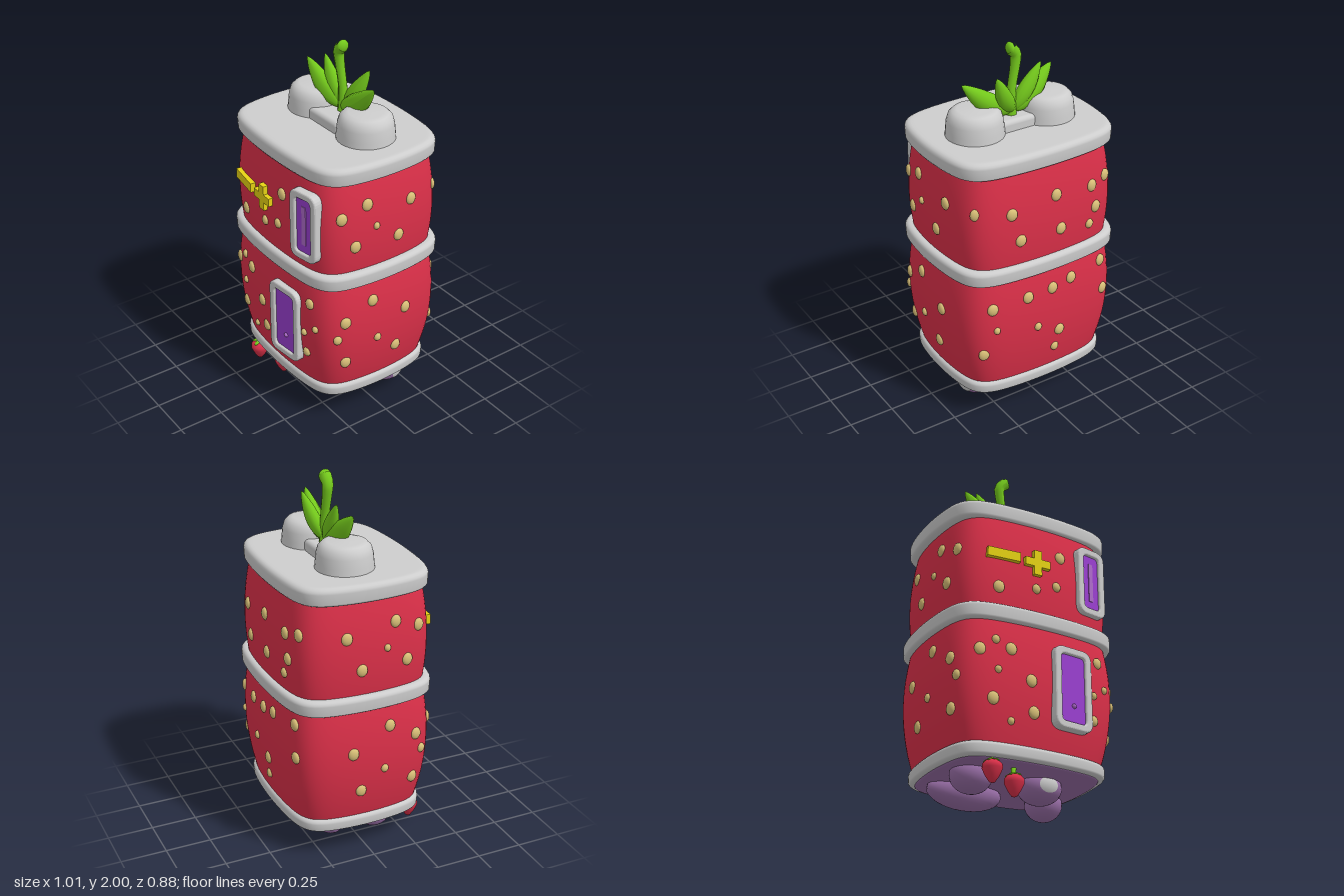
import * as THREE from 'three';
import { RoundedBoxGeometry } from 'three/addons/geometries/RoundedBoxGeometry.js';

const mat = (name, color) => {
  const m = new THREE.MeshStandardMaterial({ color });
  m.name = name;
  return m;
};
const BOW = 0.1, POW = 8, Z0 = -0.01;

// Bowed, rounded rectangle lofted through [y, halfWidth, halfDepth] sections
function loft(sections, seg = 24) {
  const n = seg * 4, pos = [], idx = [];
  for (const [y, a, b] of sections) {
    for (let j = 0; j < n; j++) {
      const s = Math.floor(j / seg), t = (j % seg) / seg * 2 - 1;
      let [u, v] = [[1, t], [-t, 1], [-1, -t], [t, -1]][s];
      const k = Math.pow(Math.abs(u) ** POW + Math.abs(v) ** POW, -1 / POW);
      u *= k; v *= k;
      pos.push(a * u * (1 - BOW * v * v), y, b * v * (1 - BOW * u * u) + Z0);
    }
  }
  for (let i = 0; i < sections.length - 1; i++) {
    for (let j = 0; j < n; j++) {
      const a = i * n + j, b = i * n + (j + 1) % n;
      idx.push(a, a + n, b + n, a, b + n, b);
    }
  }
  const g = new THREE.BufferGeometry();
  g.setAttribute('position', new THREE.Float32BufferAttribute(pos, 3));
  g.setIndex(idx);
  g.computeVertexNormals();
  return g;
}

// Bulging storeys of the house
const tiers = [
  { y0: 0.2, y1: 0.92, a: [0.425, 0.455, 0.05], b: [0.36, 0.39, 0.04] },
  { y0: 0.92, y1: 1.5, a: [0.455, 0.435, 0.03], b: [0.388, 0.37, 0.025] },
];
const bulge = ([p, q, h], t) => p + (q - p) * t + h * 4 * t * (1 - t);
function halfSize(y) {
  const k = y < 0.92 ? tiers[0] : tiers[1], t = (y - k.y0) / (k.y1 - k.y0);
  return [bulge(k.a, t), bulge(k.b, t)];
}

// Slab with rounded edges
function slab(y0, y1, a, b, r = 0.025) {
  const s = [[y0, 0, 0], [y0, a - r * 1.5, b - r * 1.5]];
  for (let i = 0; i <= 8; i++) {
    const t = -Math.PI / 2 + Math.PI * i / 8, c = r * (1 - Math.cos(t));
    const mid = Math.sin(t) < 0 ? y0 + r : y1 - r;
    s.push([mid + r * Math.sin(t), a - c, b - c]);
  }
  s.push([y1, a - r * 1.5, b - r * 1.5], [y1, a * 0.7, b * 0.7], [y1, 0, 0]);
  return loft(s);
}

// Tube with changing radius, optionally flattened in z
function taper(points, radius, flat = 1, seg = 20) {
  const curve = new THREE.CatmullRomCurve3(points.map(p => new THREE.Vector3(...p)));
  const g = new THREE.TubeGeometry(curve, seg, 1, 12), p = g.attributes.position;
  const v = new THREE.Vector3();
  for (let i = 0; i < p.count; i++) {
    const t = Math.floor(i / 13) / seg, c = curve.getPointAt(t);
    v.fromBufferAttribute(p, i).sub(c).multiplyScalar(radius(t));
    v.z *= flat;
    v.add(c);
    p.setXYZ(i, v.x, v.y, v.z);
  }
  g.computeVertexNormals();
  return g;
}

function roundRect(target, w, h, r) {
  const x = w / 2, y = h / 2;
  target.moveTo(-x + r, -y).lineTo(x - r, -y).quadraticCurveTo(x, -y, x, -y + r)
    .lineTo(x, y - r).quadraticCurveTo(x, y, x - r, y)
    .lineTo(-x + r, y).quadraticCurveTo(-x, y, -x, y - r)
    .lineTo(-x, -y + r).quadraticCurveTo(-x, -y, -x + r, -y);
  return target;
}

const lathe = pts => new THREE.LatheGeometry(pts.map(p => new THREE.Vector2(...p)), 32);

export function createModel() {
  const root = new THREE.Group();
  const red = mat('berry red', 0xdc3049), grey = mat('icing grey', 0xcdcdcd);
  const seedTan = mat('seed tan', 0xd9c078), violet = mat('glass violet', 0x9a40d0);
  const pale = mat('pale violet', 0xae6ccb), plum = mat('plum', 0x9a6fa8);
  const green = mat('leaf green', 0x74c91c), yellow = mat('sign yellow', 0xe8d414);
  const add = (name, geo, m, p = [0, 0, 0], parent = root) => {
    const o = new THREE.Mesh(geo, m);
    o.name = name;
    o.position.set(...p);
    parent.add(o);
    return o;
  };

  // Storeys
  tiers.forEach((k, i) => {
    const s = [];
    for (let j = 0; j <= 16; j++) {
      const t = j / 16;
      s.push([k.y0 + (k.y1 - k.y0) * t, bulge(k.a, t), bulge(k.b, t)]);
    }
    add(i ? 'upperStorey' : 'lowerStorey', loft(s), red);
  });

  // Trims, roof and floor
  add('baseTrim', slab(0.17, 0.245, 0.455, 0.385), grey);
  add('middleTrim', slab(0.87, 0.96, 0.5, 0.425), grey);
  add('roof', slab(1.46, 1.56, 0.49, 0.395, 0.03), grey);
  add('floor', slab(0.163, 0.19, 0.425, 0.355, 0.01), plum);

  // Roof turrets and the bridge between them
  const turret = lathe([[0.155, 1.54], [0.15, 1.59], [0.145, 1.64], [0.135, 1.672],
    [0.115, 1.692], [0.09, 1.699], [0, 1.702]]);
  add('rightTurret', turret, grey, [-0.21, 0, -0.045]);
  add('leftTurret', turret, grey, [0.22, 0, -0.045]);
  add('bridge', new RoundedBoxGeometry(0.26, 0.09, 0.2, 4, 0.025), grey, [0, 1.575, -0.03]);

  // Leaf crown and stalk
  const leaf = (x, y, z, w, sag) => add('leaf', taper(
    [[0, 1.635, -0.055], [x * 0.5, 1.635 + (y - 1.635) * 0.5 - sag, (z - 0.055) / 2], [x, y, z]],
    t => 0.002 + w * Math.pow(Math.sin(Math.PI * Math.pow(t, 0.85)), 0.75) * (1.1 - 0.2 * t), 0.8), green);
  leaf(-0.255, 1.83, -0.02, 0.055, 0.02);
  leaf(0.29, 1.835, -0.04, 0.052, 0.025);
  leaf(-0.16, 1.87, -0.065, 0.042, 0.01);
  leaf(0.14, 1.865, -0.125, 0.042, 0.02);
  add('stalk', taper([[0.01, 1.6, -0.055], [0.008, 1.75, -0.055], [-0.015, 1.88, -0.052],
    [-0.018, 1.94, -0.05], [0.015, 1.975, -0.05]], t => 0.03 - 0.03 * t + 0.034 * t * t), green);
  add('stalkTip', new THREE.SphereGeometry(0.034, 16, 12), green, [0.013, 1.972, -0.05]).scale.x = 0.6;

  // Seeds scattered on each wall: [along wall, y, size]
  const seedGeo = new THREE.SphereGeometry(1, 14, 10);
  const wallPoint = (u, y, side) => {
    const h = halfSize(y), along = h[side ? 1 : 0], out = h[side ? 0 : 1];
    const U = Math.min(0.97, Math.abs(u) / (along * (1 - BOW)));
    return [out * Math.pow(1 - U ** POW, 1 / POW) * (1 - BOW * U * U),
      Math.sign(u) * U * 0.25];
  };
  const seed = (wall, u, y, s = 1) => {
    const side = wall === 'left' || wall === 'right';
    const [d, yaw] = wallPoint(u, y, side);
    const sg = wall === 'front' || wall === 'left' ? 1 : -1;
    const o = add(wall + 'Seed', seedGeo, seedTan, side ? [sg * d, y, u + Z0] : [u, y, sg * d + Z0]);
    o.rotation.y = side ? Math.PI / 2 - sg * yaw : sg * yaw;
    o.scale.set(0.03 * s, 0.034 * s, 0.017);
  };
  const S = 0.6;
  const frontSeeds = [[0.1, 1.31], [-0.05, 1.09, 0.8], [0.07, 1.13, 0.8], [-0.26, 1.06],
    [-0.36, 0.7], [-0.28, 0.76, 0.7], [-0.2, 0.72], [-0.27, 0.6, S], [-0.09, 0.57],
    [-0.29, 0.45], [-0.07, 0.41], [-0.19, 0.35, S], [0.32, 0.76, 0.9], [0.36, 0.62, S],
    [0.285, 0.57, S], [0.29, 0.44, 0.8]];
  const sideSeeds = [[0.27, 1.28], [0.13, 1.33], [-0.14, 1.28], [0.08, 1.2, S], [0.2, 1.11],
    [-0.06, 1.1], [0.1, 0.76], [0.26, 0.67], [0.3, 0.57, 0.8], [-0.11, 0.64],
    [0.07, 0.52, 0.7], [0.25, 0.41], [-0.06, 0.41]];
  const backSeeds = [[0.4, 1.28], [0.23, 1.26], [-0.03, 1.3], [-0.26, 1.28], [-0.36, 1.3],
    [0.18, 1.1], [-0.06, 1.1], [-0.29, 1.15], [-0.25, 1.06, 0.8], [0.34, 0.73], [0.14, 0.75],
    [-0.01, 0.76], [0.32, 0.6, S], [0.38, 0.45], [0.08, 0.55, 0.7], [-0.13, 0.78],
    [-0.34, 0.8], [-0.06, 0.48], [-0.04, 0.37, 0.8], [-0.36, 0.62]];
  frontSeeds.forEach(s => seed('front', ...s));
  backSeeds.forEach(s => seed('back', ...s));
  sideSeeds.forEach(s => { seed('left', ...s); seed('right', ...s); });

  // Framed door and window
  const opening = (name, p, yaw, w, h) => {
    const g = new THREE.Group();
    g.name = name;
    g.position.set(...p);
    g.rotation.y = yaw;
    root.add(g);
    const shape = roundRect(new THREE.Shape(), w - 0.02, h - 0.02, 0.045);
    shape.holes.push(roundRect(new THREE.Path(), w - 0.06, h - 0.06, 0.035));
    add(name + 'Frame', new THREE.ExtrudeGeometry(shape, { depth: 0.035, bevelThickness: 0.01,
      bevelSize: 0.01, bevelSegments: 3, curveSegments: 6 }), grey, [0, 0, -0.03], g);
    const pane = roundRect(new THREE.Shape(), w - 0.05, h - 0.05, 0.035);
    add(name + 'Pane', new THREE.ExtrudeGeometry(pane, { depth: 0.008, bevelEnabled: false }),
      violet, [0, 0, -0.008], g);
    return g;
  };
  const door = opening('door', [0.145, 0.57, 0.412], 0.1, 0.23, 0.44);
  add('doorKnob', new THREE.SphereGeometry(0.013, 12, 8), pale, [0.005, -0.09, 0], door);
  const win = opening('window', [0.29, 1.215, 0.383], 0.17, 0.185, 0.39);
  add('windowGlint', new THREE.BoxGeometry(0.028, 0.22, 0.006), pale, [0, 0, 0.001], win);

  // Plus and minus signs
  const bar = (name, x, y, w, h, tilt = 0) => {
    const [d, yaw] = wallPoint(x, y, false);
    add(name, new THREE.BoxGeometry(w, h, 0.03), yellow, [x, y, d + Z0 + 0.008])
      .rotation.set(0, yaw, tilt);
  };
  bar('minusSign', -0.24, 1.24, 0.18, 0.052, -0.03);
  bar('plusSignAcross', -0.05, 1.232, 0.145, 0.045);
  bar('plusSignUpright', -0.05, 1.232, 0.045, 0.14);

  // Plum feet, two with a pale patch
  const ball = new THREE.SphereGeometry(1, 24, 16);
  [[0.3, -0.14, 0.1, 0.1], [0.13, 0.1, 0.12, 0.105], [-0.16, -0.16, 0.21, 0.09],
    [-0.26, 0.1, 0.11, 0.1]].forEach(([x, z, rx, rz]) =>
    add('foot', ball, plum, [x, 0.14, z]).scale.set(rx, 0.09, rz));
  const patch = new THREE.SphereGeometry(1.02, 16, 6, 0, Math.PI * 2, 0, 0.45);
  [[0.13, 0.1, 0.12, 0.105, [0, -0.1, 1]], [0.3, -0.14, 0.1, 0.1, [1, -0.2, -0.3]]]
    .forEach(([x, z, rx, rz, dir]) => {
      const g = new THREE.Group();
      g.name = 'footPatch';
      g.position.set(x, 0.14, z);
      g.scale.set(rx, 0.09, rz);
      root.add(g);
      add('palePatch', patch, grey, [0, 0, 0], g).quaternion.setFromUnitVectors(
        new THREE.Vector3(0, 1, 0), new THREE.Vector3(...dir).normalize());
    });

  // Hanging strawberries
  const berry = lathe([[0, 0], [0.015, 0.006], [0.034, 0.035], [0.05, 0.07], [0.05, 0.09],
    [0.036, 0.108], [0, 0.115]]);
  const sepal = new THREE.SphereGeometry(1, 10, 6);
  [[-0.265, 0.04, 0.325, -0.04], [-0.11, 0.01, 0.265, -0.03]].forEach(([x, y, z, lean]) => {
    const g = new THREE.Group();
    g.name = 'hangingStrawberry';
    g.position.set(x, y, z);
    root.add(g);
    add('strawberry', berry, red, [0, 0, 0], g);
    add('strawberryStem', taper([[0, 0.1, 0], [0.005, 0.14, lean / 2], [0.02, 0.19, lean]],
      () => 0.013, 1, 8), green, [0, 0, 0], g);
    for (let i = 0; i < 5; i++) {
      const a = i * Math.PI * 0.4;
      const o = add('strawberrySepal', sepal, green, [Math.cos(a) * 0.022, 0.112, Math.sin(a) * 0.022], g);
      o.scale.set(0.024, 0.007, 0.012);
      o.rotation.set(0, -a, -0.3);
    }
  });
  return root;
}
